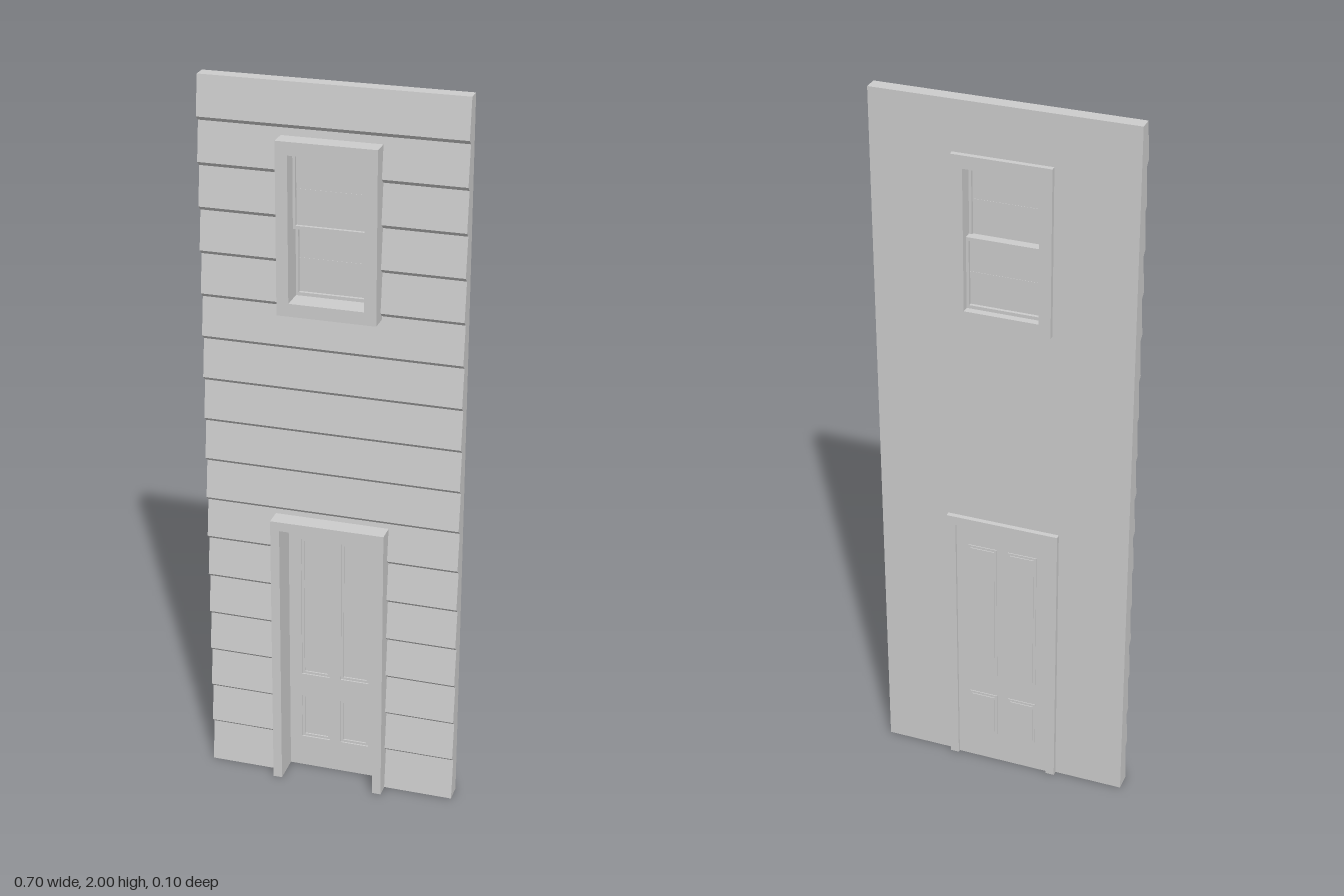
import * as THREE from 'three';

const material = new THREE.MeshStandardMaterial({ color: 0xcccccc, flatShading: true });
const PITCH = 2 / 17, LIP = 0.012, BACK = -0.038, PROUD = 0.014;

function add(parent, name, geometry) {
  const mesh = new THREE.Mesh(geometry, material);
  mesh.name = name;
  parent.add(mesh);
  return mesh;
}

function box(parent, name, x0, x1, y0, y1, z0, z1) {
  const g = new THREE.BoxGeometry(x1 - x0, y1 - y0, z1 - z0);
  g.translate((x0 + x1) / 2, (y0 + y1) / 2, (z0 + z1) / 2);
  return add(parent, name, g);
}

const rectPoints = (x0, x1, y0, y1) =>
  [[x0, y0], [x1, y0], [x1, y1], [x0, y1]].map(([x, y]) => new THREE.Vector2(x, y));

// Flat plate with rectangular holes, spanning z0 to z1
function plate(parent, name, outer, holes, z0, z1) {
  const shape = new THREE.Shape(rectPoints(...outer));
  holes.forEach(h => shape.holes.push(new THREE.Path(rectPoints(...h).reverse())));
  const g = new THREE.ExtrudeGeometry(shape, { depth: z1 - z0, bevelEnabled: false });
  g.translate(0, 0, z0);
  return add(parent, name, g);
}

// Front depth of a lapped board at height y
function boardDepth(y) {
  const i = Math.floor(y / PITCH + 1e-6), t = y - i * PITCH;
  if (t < LIP && i > 0) return PROUD * Math.max(t, 0) / LIP;
  return PROUD * (PITCH - t) / (PITCH - LIP * (i > 0));
}

// Stretch of lapped siding, with its profile extruded along x
function siding(parent, x0, x1, y0, y1) {
  const heights = [y0];
  for (let i = 0; i < 17; i++) {
    for (const y of [i * PITCH, i * PITCH + LIP]) if (y > y0 + 1e-5 && y < y1 - 1e-5) heights.push(y);
  }
  heights.push(y1);
  const shape = new THREE.Shape();
  shape.moveTo(-BACK, y0);
  shape.lineTo(-BACK, y1);
  heights.reverse().forEach(y => shape.lineTo(y > 1.9999 ? 0 : -boardDepth(y), y));
  const g = new THREE.ExtrudeGeometry(shape, { depth: x1 - x0, bevelEnabled: false });
  g.rotateY(Math.PI / 2);
  g.translate(x0, 0, 0);
  add(parent, 'siding', g);
}

function createWall() {
  const wall = new THREE.Group();
  wall.name = 'clapboardWall';
  // Bands from bottom to top: [y0, y1, half width of opening]
  for (const [y0, y1, gap] of [[0, 0.797, 0.145], [0.797, 1.42, 0], [1.42, 1.845, 0.115], [1.845, 2, 0]]) {
    if (gap) {
      siding(wall, -0.35, -gap, y0, y1);
      siding(wall, gap, 0.35, y0, y1);
    } else siding(wall, -0.35, 0.35, y0, y1);
  }
  return wall;
}

function createDoor() {
  const door = new THREE.Group();
  door.name = 'door';
  // Casing: two jambs and a head
  for (const s of [-1, 1]) {
    const xs = [s * 0.132, s * 0.157].sort((a, b) => a - b);
    box(door, 'doorJamb', xs[0], xs[1], 0, 0.81, -0.052, 0.052);
  }
  box(door, 'doorHead', -0.132, 0.132, 0.784, 0.81, -0.052, 0.052);

  // Slab with four panels, sunk in front and raised behind
  const panels = [];
  for (const [x0, x1] of [[-0.097, -0.016], [0.016, 0.097]]) {
    for (const [y0, y1] of [[0.095, 0.23], [0.30, 0.725]]) panels.push([x0, x1, y0, y1]);
  }
  plate(door, 'doorSlab', [-0.132, 0.132, 0, 0.784], panels, -0.044, -0.03);
  for (const [x0, x1, y0, y1] of panels) {
    const inner = [x0 + 0.007, x1 - 0.007, y0 + 0.007, y1 - 0.007];
    box(door, 'doorPanel', ...inner, -0.049, -0.038);
    plate(door, 'panelMoulding', [x0, x1, y0, y1], [inner], -0.0465, -0.034);
  }
  return door;
}

// One sash: frame, glass and thin glazing bars
function sash(parent, name, y0, y1, z) {
  const group = new THREE.Group();
  group.name = name;
  const inner = [-0.093, 0.093, y0 + 0.009, y1 - 0.009];
  plate(group, 'sashFrame', [-0.101, 0.101, y0, y1], [inner], z - 0.01, z + 0.01);
  box(group, 'glass', ...inner, z - 0.001, z + 0.001);
  const mid = (y0 + y1) / 2;
  box(group, 'verticalBar', -0.0015, 0.0015, inner[2], inner[3], z - 0.002, z + 0.002);
  box(group, 'horizontalBar', -0.093, 0.093, mid - 0.0015, mid + 0.0015, z - 0.0018, z + 0.0018);
  parent.add(group);
}

function createWindow() {
  const win = new THREE.Group();
  win.name = 'window';
  plate(win, 'windowCasing', [-0.132, 0.132, 1.403, 1.863], [[-0.1, 0.1, 1.438, 1.828]], -0.052, 0.052);
  sash(win, 'upperSash', 1.624, 1.83, 0.0);
  sash(win, 'lowerSash', 1.438, 1.636, -0.022);
  return win;
}

export function createModel() {
  const model = new THREE.Group();
  model.name = 'houseFacade';
  model.add(createWall(), createDoor(), createWindow());
  return model;
}
